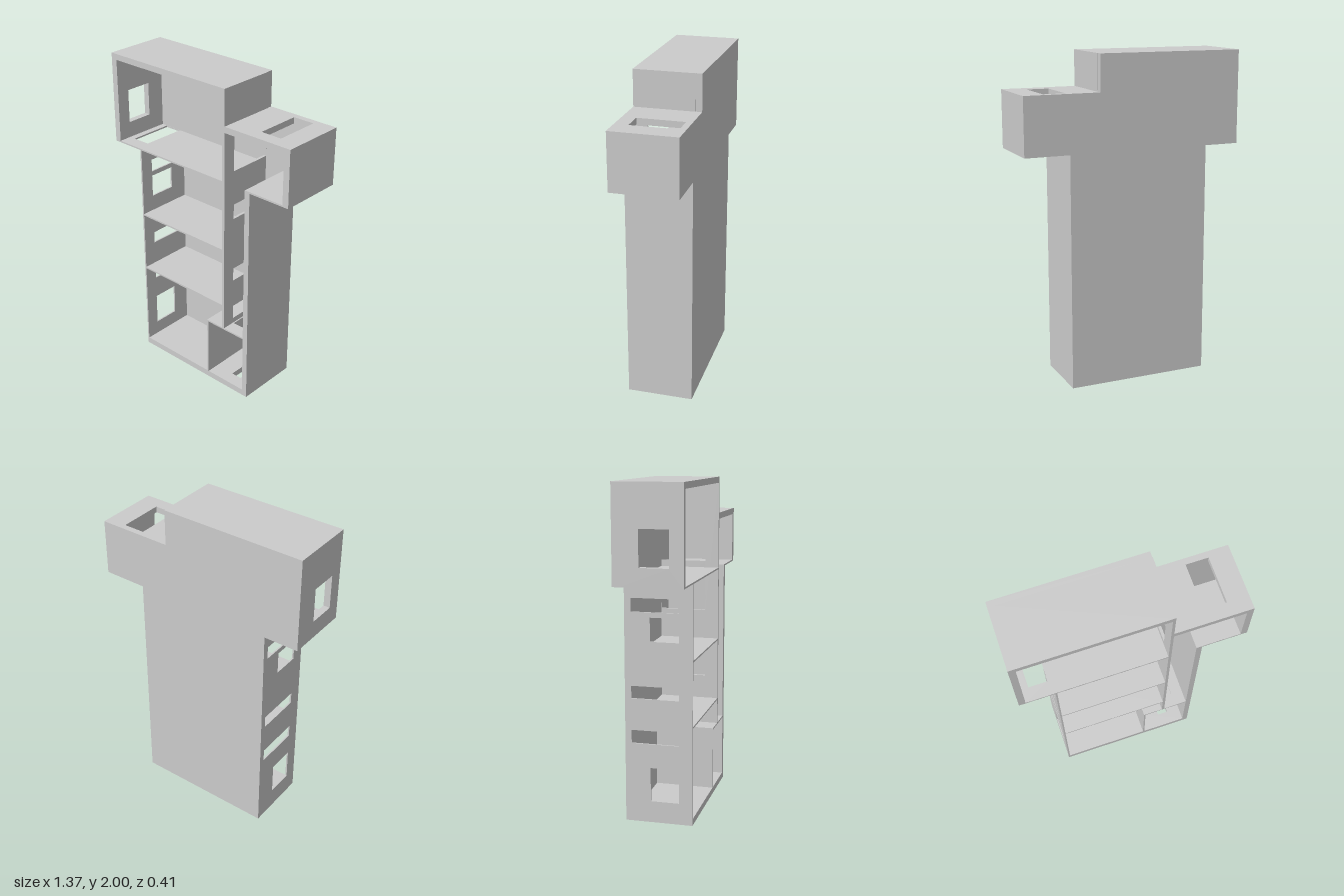
import * as THREE from 'three';

const FRONT = 0.2025, INNER = -0.165, BACK = -0.2025;
const material = new THREE.MeshStandardMaterial({ color: 0xcccccc, flatShading: true });

function trace(target, points) {
  points.forEach(([a, b], i) => (i ? target.lineTo(a, b) : target.moveTo(a, b)));
  target.closePath();
  return target;
}

const rect = (a0, a1, b0, b1) => [[a0, b0], [a1, b0], [a1, b1], [a0, b1]];

// Extruded plate with rectangular holes, each given as [a0, a1, b0, b1]
function plate(points, depth, holes = []) {
  const shape = trace(new THREE.Shape(), points);
  for (const h of holes) shape.holes.push(trace(new THREE.Path(), rect(...h).reverse()));
  return new THREE.ExtrudeGeometry(shape, { depth, bevelEnabled: false });
}

export function createModel() {
  const model = new THREE.Group();
  model.name = 'openFrontedHouse';

  function add(name, geometry) {
    const mesh = new THREE.Mesh(geometry, material);
    mesh.name = name;
    model.add(mesh);
  }

  // Upright wall between x0 and x1; holes are in z, y
  function wall(name, x0, x1, y0, y1, holes) {
    const g = plate(rect(INNER, FRONT, y0, y1), x1 - x0, holes);
    add(name, g.rotateY(-Math.PI / 2).translate(x1, 0, 0));
  }

  // Level floor between y0 and y1; holes are in x, z
  function slab(name, y0, y1, x0, x1, holes) {
    const g = plate(rect(x0, x1, INNER, FRONT), y1 - y0, holes);
    add(name, g.rotateX(Math.PI / 2).translate(0, y1, 0));
  }

  const strip = (y0, y1) => [INNER + 0.001, 0.12, y0, y1];
  const win = (y0, y1) => [-0.05, 0.12, y0, y1];

  // Back panel follows the whole outline
  add('backPanel', plate([
    [-0.47, 0], [0.41, 0], [0.41, 1.43], [0.685, 1.43], [0.685, 1.78],
    [0.22, 1.78], [0.22, 2], [-0.685, 2], [-0.685, 1.43], [-0.47, 1.43],
  ], INNER - BACK).translate(0, 0, BACK));

  // Upper room
  wall('upperLeftWall', -0.685, -0.645, 1.43, 2, [win(1.54, 1.75)]);
  slab('upperRoof', 1.963, 2, -0.645, 0.205);
  slab('upperFloor', 1.43, 1.44, -0.645, 0.205, [[-0.605, -0.49, INNER + 0.001, 0.12]]);

  // Tower shell
  wall('towerLeftWall', -0.47, -0.46, 0, 1.43, [
    win(0.13, 0.335), strip(0.48, 0.56), strip(0.75, 0.825), win(1.09, 1.23), strip(1.26, 1.34),
  ]);
  wall('towerRightWall', 0.375, 0.41, 0, 1.43);
  slab('towerBase', 0, 0.04, -0.46, 0.375, [[0.222, 0.29, -0.05, 0.12]]);
  for (const y of [0.59, 0.98]) slab('middleFloor', y, y + 0.01, -0.46, 0.205);

  // Shaft divider, which is also the right wall of the upper room
  wall('shaftDivider', 0.205, 0.222, 0.435, 2, [
    strip(0.47, 0.56), strip(0.745, 0.83), strip(1.17, 1.265), strip(1.48, 1.70),
  ]);

  // Small corner room below the shaft
  wall('cornerRoomWall', 0.08, 0.09, 0.04, 0.425);
  slab('cornerRoomCeiling', 0.425, 0.435, 0.08, 0.375, [[0.23, 0.30, -0.05, 0.12]]);

  // Side arm open to the shaft
  slab('armFloor', 1.43, 1.44, 0.375, 0.645);
  wall('armEndWall', 0.645, 0.685, 1.43, 1.78);
  slab('armRoof', 1.742, 1.78, 0.222, 0.645, [[0.42, 0.555, INNER + 0.001, 0.12]]);

  return model;
}
